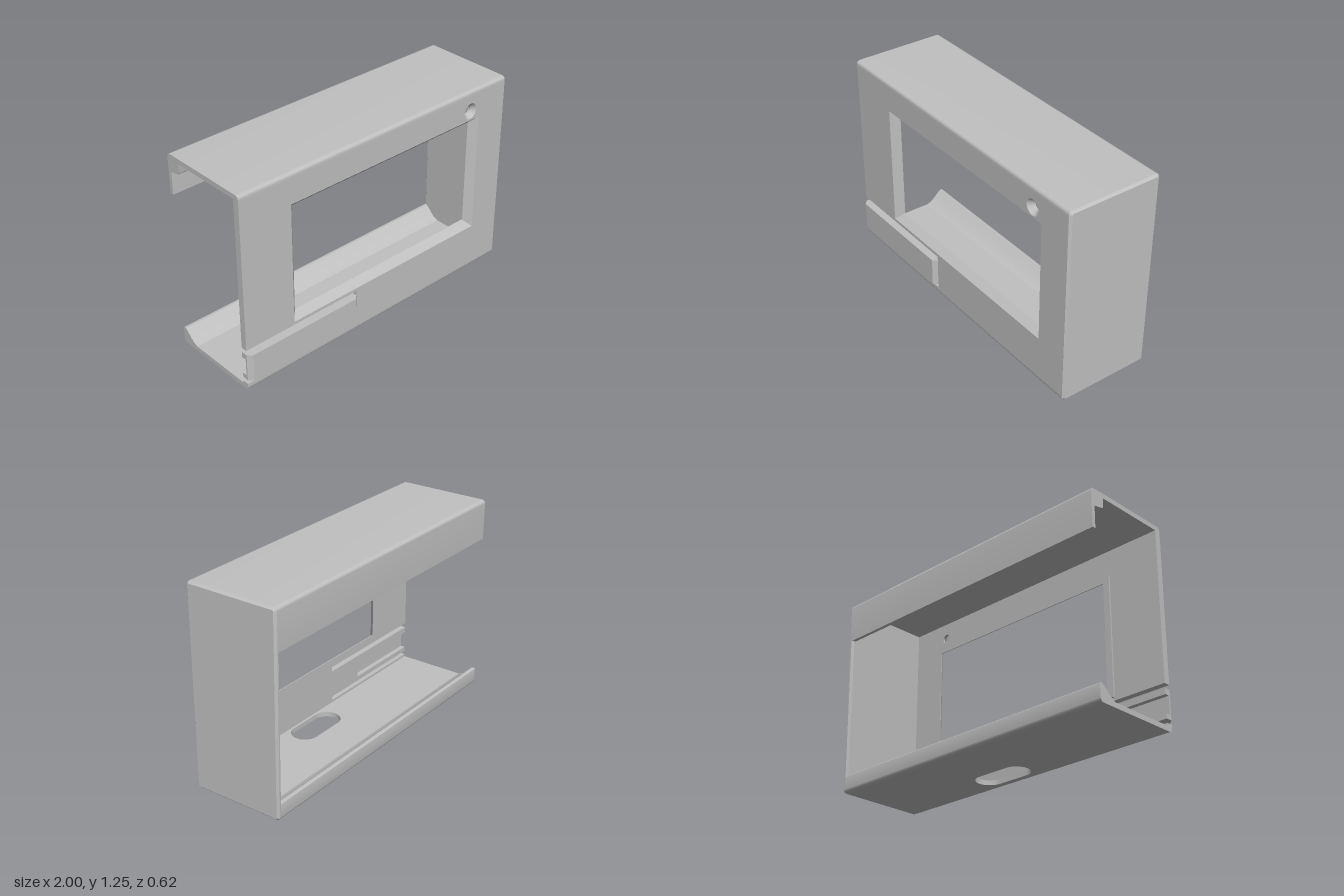
import * as THREE from 'three';
import { toCreasedNormals } from 'three/addons/utils/BufferGeometryUtils.js';

const FRONT = 0.29, INNER = 0.25, WALL = 0.965, END = 0.985, R = 0.025;
const backZ = (y) => -0.295 - 0.012 * y;

// Shape from points; a point with a third value is a rounded corner of that radius
function outline(points) {
  const s = new THREE.Shape();
  const n = points.length;
  points.forEach(([x, y, r = 0], i) => {
    const p = new THREE.Vector2(x, y);
    const toward = (q) => p.clone().add(new THREE.Vector2(q[0] - x, q[1] - y).setLength(r));
    const a = toward(points[(i + n - 1) % n]);
    const b = toward(points[(i + 1) % n]);
    if (i === 0) s.moveTo(a.x, a.y); else s.lineTo(a.x, a.y);
    if (r) s.quadraticCurveTo(x, y, b.x, b.y);
  });
  s.closePath();
  return s;
}

const rect = (x0, y0, x1, y1) => [[x0, y0], [x1, y0], [x1, y1], [x0, y1]];

function extrude(shape, depth, extra = {}) {
  return new THREE.ExtrudeGeometry(shape, { depth, bevelEnabled: false, curveSegments: 10, ...extra });
}

// Sweep a [z, y] profile along x
function alongX(profile, x0, x1, extra) {
  const g = extrude(outline(profile.map(([z, y, r]) => [-z, y, r])), x1 - x0, extra);
  return g.rotateY(Math.PI / 2).translate(x0, 0, 0);
}

// Sweep an [x, z] plan upward
function alongY(shape, y0, y1) {
  return extrude(shape, y1 - y0).rotateX(-Math.PI / 2).translate(0, y0, 0);
}

// Rectangular ring surface through a list of [inset, z] steps
function rectRing(x0, y0, x1, y1, steps) {
  const pos = [];
  for (let i = 0; i < steps.length - 1; i++) {
    const [a, b] = [steps[i], steps[i + 1]].map(([d, z]) =>
      rect(x0 + d, y0 + d, x1 - d, y1 - d).map(([x, y]) => [x, y, z]));
    for (let k = 0; k < 4; k++) {
      const m = (k + 1) % 4;
      pos.push(...a[k], ...a[m], ...b[m], ...a[k], ...b[m], ...b[k]);
    }
  }
  const g = new THREE.BufferGeometry();
  g.setAttribute('position', new THREE.Float32BufferAttribute(pos, 3));
  g.computeVertexNormals();
  return g;
}

export function createModel() {
  const group = new THREE.Group();
  const grey = new THREE.MeshStandardMaterial({ color: 0xc0c0c0, side: THREE.DoubleSide });
  grey.name = 'grey plastic';
  const add = (name, geometry, smooth = true) => {
    const mesh = new THREE.Mesh(smooth ? toCreasedNormals(geometry, 0.6) : geometry, grey);
    mesh.name = name;
    group.add(mesh);
    return mesh;
  };

  // Roof with rounded edges, thick back corner and hanging back lip
  add('roof', alongX([
    [FRONT, 1.22], [FRONT, 1.25, R], [backZ(1.25), 1.25, R], [backZ(1), 1.0],
    [-0.285, 1.0], [-0.285, 1.14], [-0.215, 1.155, 0.01], [-0.21, 1.22],
  ], -1, END));

  // Front wall with window, screw hole and a notch at the open end
  const win = [-0.66, 0.295, 0.775, 1.06];
  const front = outline([
    [-1, 0.03], [END, 0.03], [END, 1.22], [-1, 1.22],
    [-1, 0.275], [-0.195, 0.275], [-0.195, 0.045], [-1, 0.045],
  ]);
  front.holes.push(outline(rect(...win)));
  front.holes.push(new THREE.Path().absarc(0.7, 1.12, 0.05, 0, Math.PI * 2));
  add('frontWall', extrude(front, FRONT - INNER).translate(0, 0, INNER));

  // Bevelled window frame, slightly proud on the inside
  add('windowFrame', rectRing(...win, [[0, FRONT], [0.042, 0.245], [0.042, 0.24], [0, 0.24], [0, INNER]]), false);

  // Countersunk screw hole
  const sink = [[0.05, FRONT], [0.027, 0.262], [0.027, INNER], [0.05, INNER]]
    .map(([r, z]) => new THREE.Vector2(r, z));
  add('screwHole', new THREE.LatheGeometry(sink, 32).rotateX(Math.PI / 2).translate(0.7, 1.12, 0));

  // Floor with a rounded slot
  const floor = outline(rect(-1, -INNER, END, 0.2));
  const slot = new THREE.Path();
  slot.absarc(0.205, -0.15, 0.085, -Math.PI / 2, Math.PI / 2);
  slot.absarc(-0.005, -0.15, 0.085, Math.PI / 2, Math.PI * 1.5);
  slot.closePath();
  floor.holes.push(slot);
  add('floor', alongY(floor, 0, 0.03));
  add('floorFrontEdge', alongX([[INNER, 0], [FRONT, 0, R], [FRONT, 0.03], [INNER, 0.03]], -1, END));

  // Low back lip with a sloping inner side
  add('backLip', alongX([
    [-0.2, 0], [backZ(0), 0, R], [backZ(0.105), 0.105, 0.008],
    [-0.275, 0.105], [-0.21, 0.045], [-0.175, 0.03], [-0.175, 0.005],
  ], -1, END));

  // Closed end wall with a chamfered outer rim
  const c = 0.013;
  add('endWall', alongX([
    [FRONT, 0, R], [FRONT, 1.25, R], [backZ(1.25), 1.25, R], [backZ(0), 0, R],
  ], WALL + c, 1 - c, { bevelEnabled: true, bevelSegments: 1, bevelThickness: c, bevelSize: c, bevelOffset: -c }));

  // Springy latch tab with bevelled ends and a channel in its back
  const tab = (back) => outline([
    ...back, [-0.195, INNER], [-0.195, FRONT], [-0.22, 0.315], [-0.972, 0.315], [-1, FRONT],
  ].map(([x, z]) => [x, -z]));
  const solid = tab([[-1, INNER]]);
  const hollow = tab([[-1, 0.28], [-0.46, 0.28], [-0.46, INNER]]);
  [[solid, 0.07, 0.1], [hollow, 0.1, 0.21], [solid, 0.21, 0.245]].forEach(([shape, y0, y1]) =>
    add('latchTab', alongY(shape, y0, y1)));

  return group;
}
